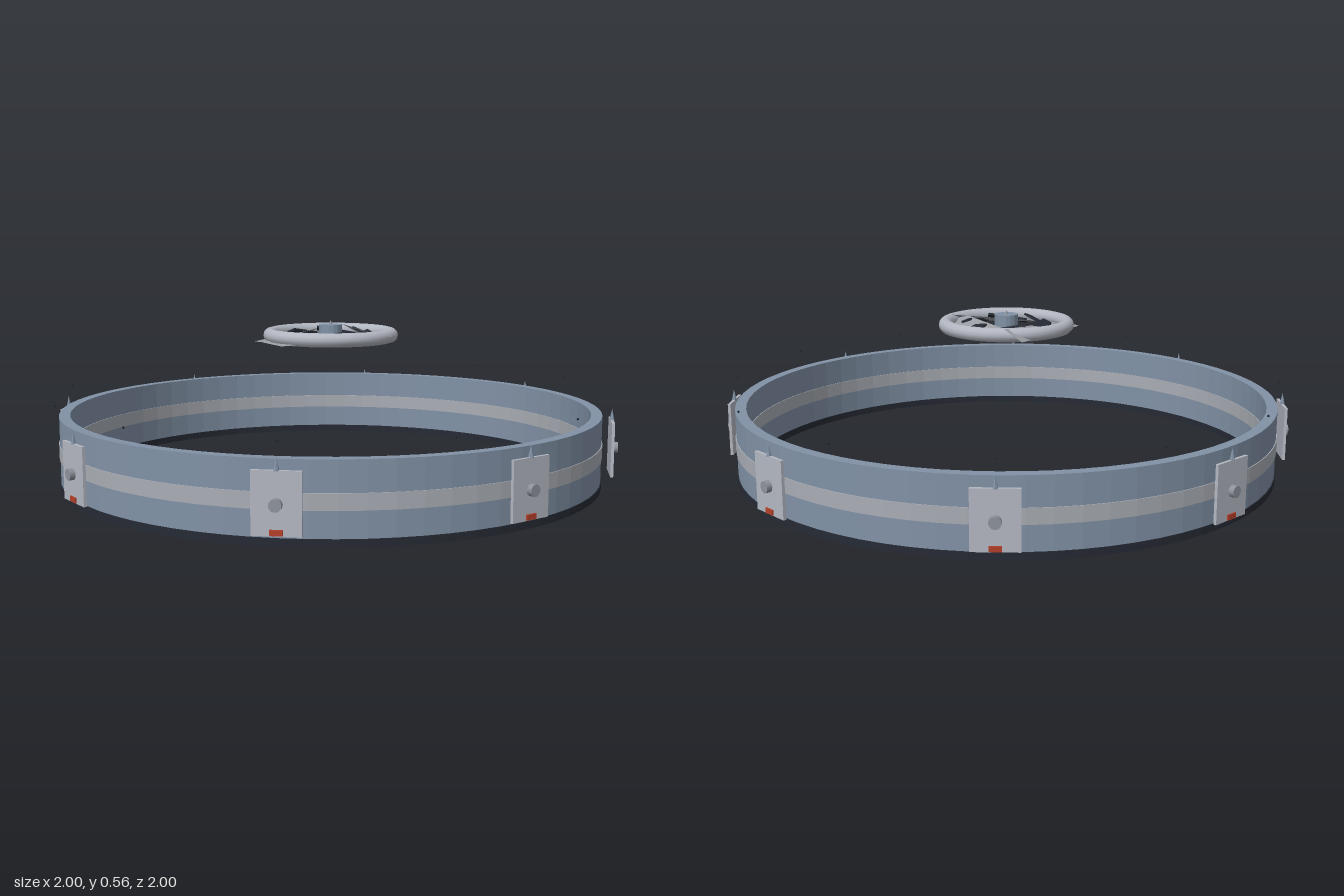
import * as THREE from 'three';

const mat = (name, color, extra = {}) => {
  const m = new THREE.MeshStandardMaterial({ color, ...extra });
  m.name = name;
  return m;
};

export function createModel() {
  const root = new THREE.Group();
  root.name = 'ringStation';
  const hull = mat('blueGreyHull', 0x8192a6, { flatShading: true });
  const dark = mat('darkBase', 0x262a34);
  const band = mat('paleBand', 0xa9adb4);
  const panel = mat('panelGrey', 0xb4b8c2);
  const knobMat = mat('knobGrey', 0x8f939c);
  const red = mat('redMarker', 0xb5402a);
  const bladeMat = mat('bladeGrey', 0x9a9da3, { side: THREE.DoubleSide });
  const tube = mat('ringSilver', 0xb2b6c0);

  const add = (parent, name, geo, material, x = 0, y = 0, z = 0) => {
    const m = new THREE.Mesh(geo, material);
    m.name = name;
    m.position.set(x, y, z);
    parent.add(m);
    return m;
  };

  // Closed rectangular ring section, swept around y
  const hoop = (inner, outer, y0, y1) => {
    const p = [[inner, y0], [outer, y0], [outer, y1], [inner, y1], [inner, y0]];
    const g = new THREE.LatheGeometry(p.map(a => new THREE.Vector2(...a)), 72).toNonIndexed();
    g.computeVertexNormals();
    return g;
  };
  add(root, 'outerRing', hoop(0.905, 0.942, 0.022, 0.25), hull);
  add(root, 'baseRing', hoop(0.903, 0.945, 0, 0.024), dark);
  add(root, 'stripeBand', hoop(0.902, 0.945, 0.105, 0.155), band);

  // Eight panels standing off the ring
  for (let i = 0; i < 8; i++) {
    const g = new THREE.Group();
    g.name = 'panelUnit';
    g.rotation.y = i * Math.PI / 4;
    root.add(g);
    add(g, 'panel', new THREE.BoxGeometry(0.145, 0.186, 0.01), panel, 0, 0.132, 0.977);
    const knob = add(g, 'panelKnob', new THREE.CylinderGeometry(0.019, 0.019, 0.02, 12), knobMat, 0, 0.13, 0.99);
    knob.rotation.x = Math.PI / 2;
    add(g, 'panelMarker', new THREE.BoxGeometry(0.038, 0.017, 0.008), red, 0, 0.05, 0.983);
    add(g, 'panelSpike', new THREE.ConeGeometry(0.009, 0.04, 6), hull, 0, 0.243, 0.977);
  }

  // Twelve tiny beacons hovering above the rim
  for (let i = 0; i < 12; i++) {
    const a = i * Math.PI / 6;
    add(root, 'beacon', new THREE.SphereGeometry(0.004, 6, 4), dark, 0.962 * Math.sin(a), 0.305, 0.962 * Math.cos(a));
  }

  // Floating central iris
  const core = new THREE.Group();
  core.name = 'centralIris';
  core.position.y = 0.505;
  root.add(core);
  add(core, 'irisRing', new THREE.TorusGeometry(0.213, 0.024, 12, 48), tube).rotation.x = Math.PI / 2;
  add(core, 'hub', new THREE.CylinderGeometry(0.041, 0.041, 0.072, 16), hull);
  add(core, 'hubTip', new THREE.ConeGeometry(0.008, 0.016, 6), knobMat, 0, 0.043, 0);

  // Dark inner vanes in a hexagon
  for (let i = 0; i < 6; i++) {
    const g = new THREE.Group();
    g.name = 'innerVane';
    g.rotation.y = i * Math.PI / 3;
    core.add(g);
    const v = add(g, 'vane', new THREE.BoxGeometry(0.14, 0.008, 0.034), dark, 0, 0, 0.13);
    v.rotation.set(0.4, 0.12, 0.12);
  }

  // Three tilted blades overlapping around the hub
  const blade = (...c) => {
    const g = new THREE.BufferGeometry();
    g.setAttribute('position', new THREE.Float32BufferAttribute(c.flat(), 3));
    g.setIndex([0, 1, 2, 0, 2, 3]);
    g.computeVertexNormals();
    add(core, 'irisBlade', g, bladeMat);
  };
  blade([-0.257, -0.02, 0.085], [-0.2, -0.015, 0.16], [0, 0.025, -0.24], [-0.06, -0.014, -0.265]);
  blade([-0.22, -0.018, 0.13], [-0.13, -0.02, 0.237], [0.225, 0.005, 0.09], [0.195, 0.022, 0.06]);
  blade([0.225, -0.018, 0.07], [0.15, 0.018, 0.09], [0, 0.022, -0.215], [0.07, -0.018, -0.215]);

  return root;
}
